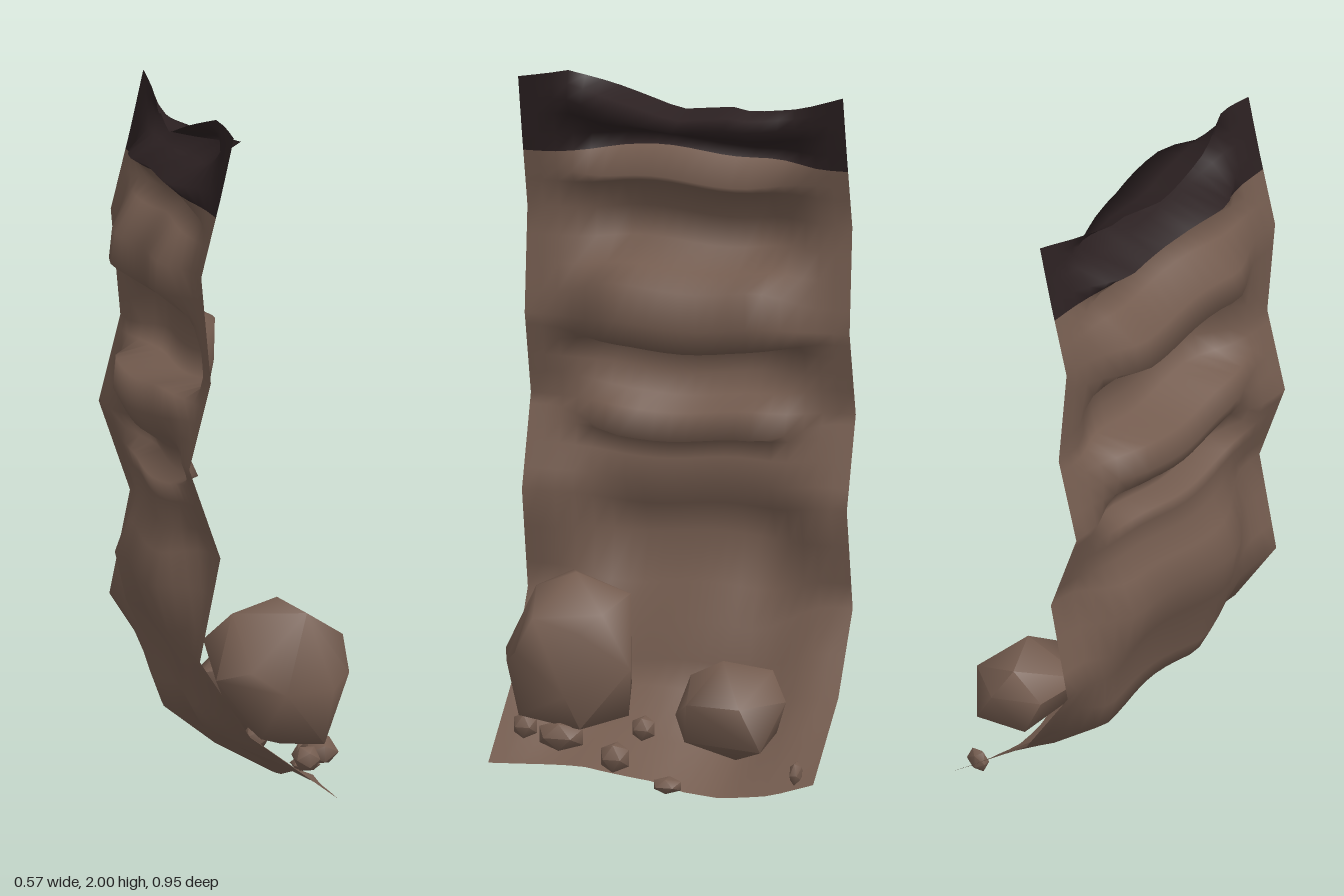
import * as THREE from 'three';
import { toCreasedNormals } from 'three/addons/utils/BufferGeometryUtils.js';
import { ConvexGeometry } from 'three/addons/geometries/ConvexGeometry.js';

const HALF = 0.475; // half width of the cliff along z

// Linear lookup in a list of [key, value] pairs sorted by key
function lerpTable(table, k) {
  for (let i = 1; i < table.length; i++) {
    const [k0, v0] = table[i - 1], [k1, v1] = table[i];
    if (k <= k1) return v0 + (v1 - v0) * Math.max(0, (k - k0) / (k1 - k0));
  }
  return table[table.length - 1][1];
}

// Side edge of the sheet: [y, x], the same on both sides
const edge = [[0.06, 0.195], [0.25, -0.06], [0.475, -0.207], [0.77, -0.147],
  [1.03, -0.238], [1.275, -0.175], [1.58, -0.203], [1.81, -0.145], [1.975, -0.108]];

// Rows from bottom to top: [edge y, middle x, middle y]
const rows = [[0.06, 0.195, 0.06], [0.15, 0.03, 0.13], [0.25, -0.12, 0.23], [0.36, -0.15, 0.3],
  [0.475, -0.17, 0.41], [0.55, -0.23, 0.51], [0.66, -0.275, 0.65], [0.77, -0.24, 0.74],
  [0.83, -0.205, 0.81], [0.9, -0.21, 0.88], [0.96, -0.22, 0.93], [1.0, -0.145, 0.945],
  [1.03, -0.18, 1.02], [1.1, -0.24, 1.06], [1.15, -0.27, 1.12], [1.2, -0.26, 1.205],
  [1.24, -0.11, 1.21], [1.275, -0.095, 1.28], [1.34, -0.09, 1.39], [1.42, -0.18, 1.43],
  [1.5, -0.275, 1.49], [1.58, -0.265, 1.58], [1.66, -0.19, 1.67], [1.7, -0.12, 1.7],
  [1.75, -0.195, 1.775], [1.8, -0.23, 1.81], [1.86, -0.12, 1.86], [1.9, 0, 1.915],
  [1.94, -0.09, 1.945], [1.975, -0.17, 1.975]];
const DARK_ROW = 24;

// Uneven bottom and top rims: [z, y offset]
const bottomRim = [[-HALF, 0], [-0.35, -0.04], [-0.2, -0.06], [-0.1, -0.05], [0, -0.02], [0.2, 0.01], [HALF, 0]];
const topRim = [[-HALF, 0], [-0.35, -0.04], [-0.2, -0.065], [-0.15, -0.055], [0, -0.075], [0.05, -0.065],
  [0.33, 0.025], [HALF, 0]];

function cliffGeometry() {
  const cols = 20, pos = [], index = [];
  for (const [ey, mx, my] of rows) {
    const ex = lerpTable(edge, ey);
    const overhang = ey > 1.85; // the top lip reaches out furthest on one side
    for (let j = 0; j <= cols; j++) {
      const z = -HALF + (2 * HALF * j) / cols;
      let w = THREE.MathUtils.smoothstep(1 - Math.abs(z) / HALF, 0.13, 0.6);
      if (overhang) w *= 0.68 + 0.32 * Math.sin(7 * z + 0.9);
      let x = ex + (mx - ex) * w, y = ey + (my - ey) * w;
      // Gentle irregularity, none on the side edges
      if (!overhang) x += 0.01 * w * Math.sin(11 * z + 5 * ey);
      if (ey > 0.2 && ey < 1.9) y += 0.01 * w * Math.sin(13 * z + 4 * ey);
      y += lerpTable(bottomRim, z) * Math.max(0, 1 - (ey - 0.06) / 0.25);
      y += lerpTable(topRim, z) * Math.max(0, (ey - 1.75) / 0.225);
      pos.push(x, y, z);
    }
  }
  for (let i = 0; i < rows.length - 1; i++) {
    for (let j = 0; j < cols; j++) {
      const a = i * (cols + 1) + j, c = a + cols + 1;
      index.push(a, c, a + 1, a + 1, c, c + 1);
    }
  }
  const g = new THREE.BufferGeometry();
  g.setAttribute('position', new THREE.Float32BufferAttribute(pos, 3));
  g.setIndex(index);
  g.computeVertexNormals();
  const split = DARK_ROW * cols * 6;
  g.addGroup(0, split, 0);
  g.addGroup(split, index.length - split, 1);
  return g;
}

// Corner points of the two boulders
const bigBoulder = [[0.08, 0.6, 0.25], [-0.065, 0.57, 0.3], [0.14, 0.57, 0.35], [0.2, 0.51, 0.14],
  [0.25, 0.5, 0.33], [-0.125, 0.39, 0.35], [-0.11, 0.47, 0.16], [-0.04, 0.42, 0.42], [0.05, 0.36, 0.465],
  [0.2, 0.36, 0.42], [0.255, 0.4, 0.38], [0.24, 0.46, 0.2], [0.205, 0.36, 0.055], [0.05, 0.54, 0.1],
  [0.258, 0.28, 0.235], [-0.03, 0.26, 0.12], [0, 0.22, 0.37], [0.18, 0.2, 0.39], [0.22, 0.18, 0.2],
  [0.1, 0.17, 0.22], [0.14, 0.21, 0.08]];
const smallBoulder = [[0.15, 0.39, -0.2], [0.1, 0.36, -0.33], [0.01, 0.28, -0.32], [0.14, 0.28, -0.38],
  [0.27, 0.28, -0.28], [0.25, 0.28, -0.12], [0.17, 0.23, -0.065], [-0.025, 0.3, -0.165], [0.1, 0.33, -0.09],
  [0.05, 0.18, -0.13], [0.23, 0.15, -0.33], [0.13, 0.1, -0.23], [0.2, 0.16, -0.1], [0.06, 0.17, -0.33]];

// Pebbles: position, then radii
const pebbles = [[0.16, 0.08, -0.415, 0.037, 0.038, 0.02], [0.25, 0.045, -0.065, 0.045, 0.024, 0.047],
  [0.075, 0.16, 0.055, 0.04, 0.038, 0.038], [0.21, 0.105, 0.1, 0.046, 0.046, 0.048],
  [0.2, 0.155, 0.26, 0.055, 0.045, 0.075], [0.13, 0.16, 0.385, 0.04, 0.04, 0.04]];

export function createModel() {
  const rock = new THREE.MeshStandardMaterial({ color: 0x745c4f, side: THREE.DoubleSide });
  rock.name = 'brown rock';
  const soil = new THREE.MeshStandardMaterial({ color: 0x2b2021, side: THREE.DoubleSide });
  soil.name = 'dark soil';

  const model = new THREE.Group();
  model.name = 'cliff';
  const add = (name, geometry, material) => {
    const mesh = new THREE.Mesh(geometry, material);
    mesh.name = name;
    model.add(mesh);
    return mesh;
  };

  // Folded rock face with a dark band along the top
  add('cliffFace', cliffGeometry(), [rock, soil]);

  // Boulders at the foot
  const boulder = (pts) => toCreasedNormals(new ConvexGeometry(pts.map((p) => new THREE.Vector3(...p))), 1.2);
  add('bigBoulder', boulder(bigBoulder), rock);
  add('smallBoulder', boulder(smallBoulder), rock);

  // Loose pebbles
  const pebble = toCreasedNormals(new THREE.IcosahedronGeometry(1, 0), 1);
  pebbles.forEach(([x, y, z, rx, ry, rz], i) => {
    const mesh = add('pebble' + (i + 1), pebble, rock);
    mesh.position.set(x, y, z);
    mesh.scale.set(rx, ry, rz);
  });
  return model;
}
